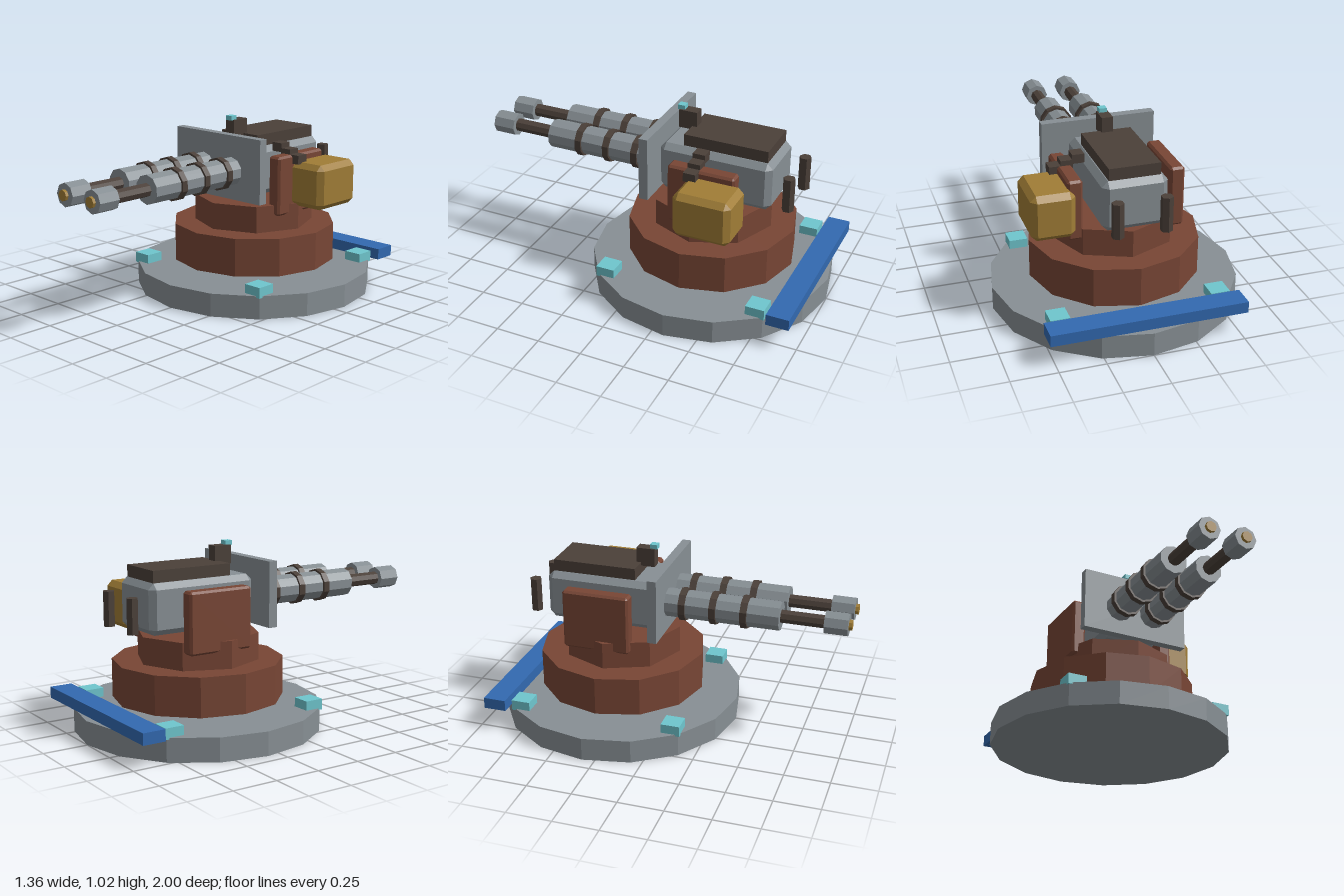
import * as THREE from 'three';
import { ConvexGeometry } from 'three/addons/geometries/ConvexGeometry.js';

const paint = (name, color) => {
  const m = new THREE.MeshStandardMaterial({ color, flatShading: true });
  m.name = name;
  return m;
};

export function createModel() {
  const model = new THREE.Group();
  const steel = paint('steel grey', 0x878f94);
  const rust = paint('rust brown', 0x784635);
  const dark = paint('dark iron', 0x4b4039);
  const brass = paint('brass', 0xa07d36);
  const blue = paint('blue', 0x3269b0);
  const teal = paint('teal', 0x6fc6ce);

  const add = (name, geometry, material, x, y, z, parent = model) => {
    const mesh = new THREE.Mesh(geometry, material);
    mesh.name = name;
    mesh.position.set(x, y, z);
    parent.add(mesh);
    return mesh;
  };

  // Box given by its limits on each axis
  const box = (name, mat, [x0, x1], [y0, y1], [z0, z1]) =>
    add(name, new THREE.BoxGeometry(x1 - x0, y1 - y0, z1 - z0), mat,
      (x0 + x1) / 2, (y0 + y1) / 2, (z0 + z1) / 2);

  // Box with every edge cut by a single flat chamfer
  const chamferBox = (name, mat, [x0, x1], [y0, y1], [z0, z1], c) => {
    const half = [(x1 - x0) / 2, (y1 - y0) / 2, (z1 - z0) / 2];
    const points = [];
    for (const sx of [-1, 1]) for (const sy of [-1, 1]) for (const sz of [-1, 1])
      for (let axis = 0; axis < 3; axis++) {
        const p = half.map((h, i) => (i === axis ? h : h - c));
        points.push(new THREE.Vector3(p[0] * sx, p[1] * sy, p[2] * sz));
      }
    return add(name, new ConvexGeometry(points), mat,
      (x0 + x1) / 2, (y0 + y1) / 2, (z0 + z1) / 2);
  };

  // Upright disc between two heights
  const disc = (name, mat, r, sides, y0, y1, x, z) =>
    add(name, new THREE.CylinderGeometry(r, r, y1 - y0, sides), mat, x, (y0 + y1) / 2, z);

  // Base and turntable
  disc('base', steel, 0.68, 16, 0, 0.13, 0, -0.32);
  disc('lowerTurntable', rust, 0.47, 12, 0.17, 0.385, 0, -0.317);
  disc('upperTurntable', rust, 0.34, 8, 0.385, 0.535, 0, -0.317);
  box('rearBar', blue, [-0.53, 0.53], [0.13, 0.193], [-0.96, -0.833]);
  for (const side of [-1, 1]) for (const z of [0.118, -0.757]) {
    add('baseClamp', new THREE.BoxGeometry(0.105, 0.06, 0.106), teal, side * 0.437, 0.151, z);
  }

  // Gun housing with cover, shield and sight
  chamferBox('housing', steel, [-0.175, 0.175], [0.57, 0.845], [-0.7, -0.06], 0.032);
  box('topCover', dark, [-0.138, 0.138], [0.84, 0.91], [-0.668, -0.193]);
  box('shield', steel, [-0.32, 0.32], [0.57, 0.93], [-0.063, -0.012]);
  box('sight', dark, [-0.031, 0.031], [0.89, 0.993], [-0.22, -0.115]);
  box('sightLens', teal, [-0.021, 0.021], [0.99, 1.016], [-0.145, -0.103]);

  // Cheek plates and rear grips
  for (const side of [-1, 1]) {
    const x = side * 0.277;
    chamferBox('cheekPlate', rust, [x - 0.04, x + 0.04], [0.475, 0.81], [-0.553, -0.175], 0.012);
    disc('rearGrip', dark, 0.033, 6, 0.59, 0.78, side * 0.129, -0.787);
  }

  // Ammunition box and its feed links
  chamferBox('ammoBox', brass, [0.285, 0.52], [0.518, 0.77], [-0.608, -0.288], 0.03);
  for (let i = 0; i < 3; i++) {
    add('feedLink', new THREE.BoxGeometry(0.066, 0.05, 0.07), dark,
      0.202 + i * 0.062, 0.84 - i * 0.027, -0.32);
  }

  // Twin barrels
  for (const side of [-1, 1]) {
    const gun = new THREE.Group();
    gun.name = side > 0 ? 'leftBarrel' : 'rightBarrel';
    gun.position.set(side * 0.106, 0.73, 0);
    model.add(gun);
    const tube = (name, mat, r, sides, z0, z1) =>
      add(name, new THREE.CylinderGeometry(r, r, z1 - z0, sides).rotateX(Math.PI / 2),
        mat, 0, 0, (z0 + z1) / 2, gun);
    tube('coolingJacket', steel, 0.08, 10, -0.06, 0.62);
    for (const z of [0.085, 0.257, 0.428]) tube('jacketBand', dark, 0.092, 10, z - 0.018, z + 0.018);
    tube('barrel', dark, 0.037, 8, 0.6, 0.88);
    tube('muzzle', steel, 0.064, 8, 0.857, 0.983);
    tube('muzzleCore', brass, 0.03, 8, 0.97, 1);
  }

  return model;
}
